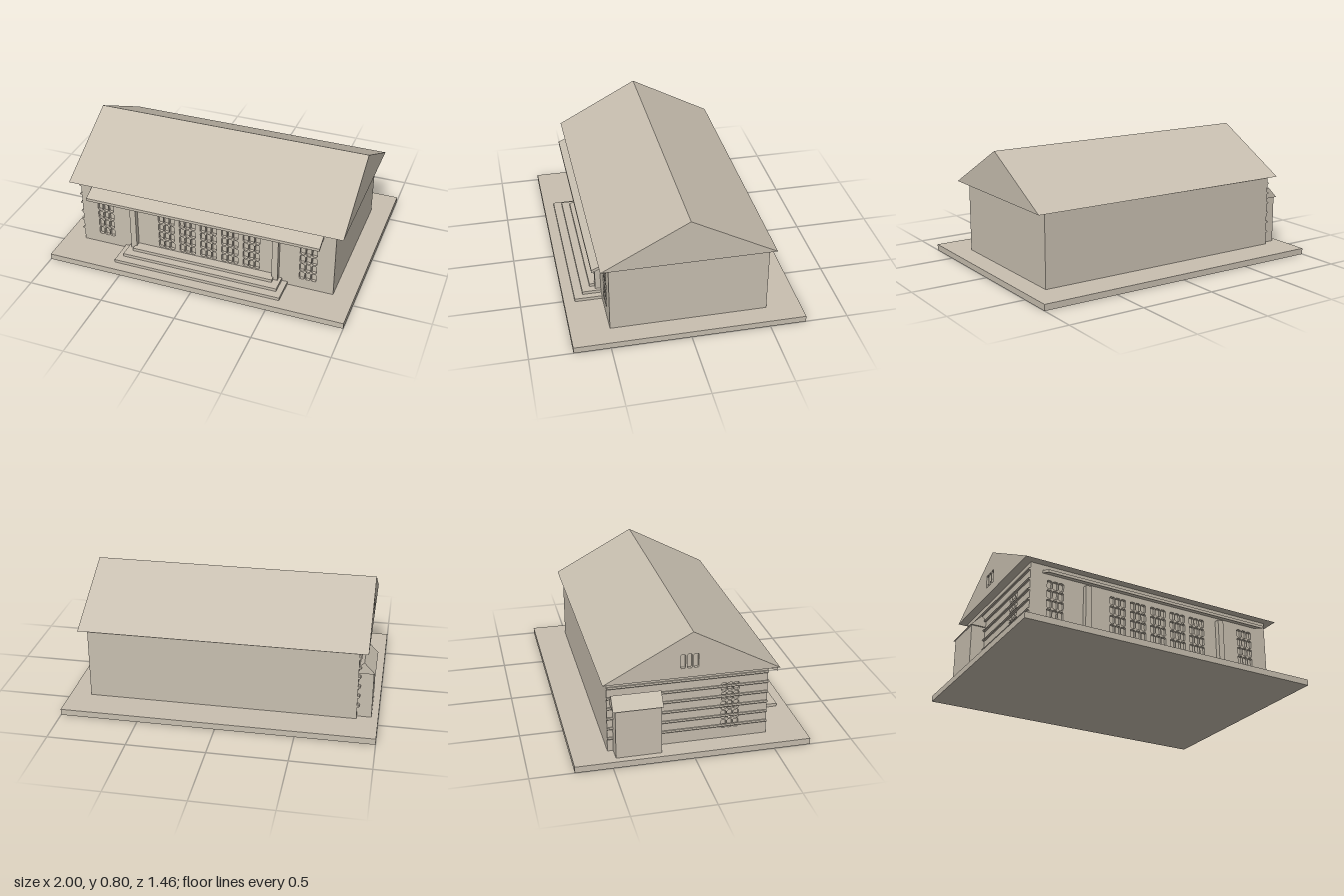
import * as THREE from 'three';

export function createModel() {
  const model = new THREE.Group();
  model.name = 'hall';
  const stone = new THREE.MeshStandardMaterial({ color: 0xc8bfb0 });
  stone.name = 'warm stone';

  const add = (name, geometry, parent = model) => {
    const mesh = new THREE.Mesh(geometry, stone);
    mesh.name = name;
    parent.add(mesh);
    return mesh;
  };

  // Box from its lower and upper corners
  const block = (name, [x0, y0, z0], [x1, y1, z1], parent) =>
    add(name, new THREE.BoxGeometry(x1 - x0, y1 - y0, z1 - z0)
      .translate((x0 + x1) / 2, (y0 + y1) / 2, (z0 + z1) / 2), parent);

  const outline = (points, holes = []) => {
    const shape = new THREE.Shape(points.map(p => new THREE.Vector2(...p)));
    shape.holes.push(...holes);
    return shape;
  };

  // Profile in x, y drawn out along z from z0 to z1
  const alongZ = (name, shape, z0, z1, parent) =>
    add(name, new THREE.ExtrudeGeometry(shape, { depth: z1 - z0, bevelEnabled: false })
      .translate(0, 0, z0), parent);

  // Profile in z, y drawn out along x from x0 to x1
  const alongX = (name, shape, x0, x1, parent) =>
    add(name, new THREE.ExtrudeGeometry(shape, { depth: x1 - x0, bevelEnabled: false })
      .rotateY(-Math.PI / 2).translate(x1, 0, 0), parent);

  // Window opening with clipped corners
  const pane = (cx, cy, w, h) => {
    const c = 0.006, a = w / 2, b = h / 2;
    return new THREE.Path([
      [-a + c, -b], [a - c, -b], [a, -b + c], [a, b - c],
      [a - c, b], [-a + c, b], [-a, b - c], [-a, -b + c],
    ].map(([x, y]) => new THREE.Vector2(cx + x, cy + y)));
  };

  // Window of three columns and five rows of openings
  const windowGrid = cx => {
    const panes = [];
    for (let row = 0; row < 5; row++)
      for (let col = -1; col <= 1; col++)
        panes.push(pane(cx + col * 0.039, 0.135 + row * 0.0635, 0.033, 0.054));
    return panes;
  };

  // Base and wall core
  block('base', [-1, 0, -0.73], [1, 0.04, 0.73]);
  block('wallCore', [-0.845, 0.04, -0.51], [0.865, 0.51, 0.465]);

  // Pierced front and side walls
  const frontWindows = [-0.697, -0.265, -0.119, 0.027, 0.173, 0.319, 0.695];
  alongZ('frontWall', outline(
    [[-0.845, 0.04], [0.865, 0.04], [0.865, 0.51], [-0.845, 0.51]],
    frontWindows.flatMap(windowGrid)), 0.465, 0.485);
  alongX('sideWall', outline(
    [[-0.51, 0.04], [0.485, 0.04], [0.485, 0.51], [-0.51, 0.51]],
    windowGrid(0.25)), -0.865, -0.845);

  // Ribs along the side wall
  const ribs = new THREE.Group();
  ribs.name = 'sideRibs';
  model.add(ribs);
  for (let i = 0; i < 6; i++) {
    const y = 0.127 + i * 0.0673;
    alongZ('rib', outline([
      [-0.863, y - 0.007], [-0.863, y + 0.007], [-0.874, y + 0.006],
      [-0.88, y], [-0.874, y - 0.006],
    ]), -0.51, 0.485, ribs);
  }

  // Solid roof with a pierced gable on one end
  const gable = [[-0.54, 0.51], [0.54, 0.51], [0, 0.8]];
  alongX('roof', outline(gable), -0.9, 0.92);
  alongX('gableWall', outline(gable,
    [-0.06, -0.02, 0.02].map(z => pane(z, 0.615, 0.03, 0.09))), -0.92, -0.9);

  // Sloping canopy over the front
  alongX('canopy', outline(
    [[0.48, 0.457], [0.575, 0.418], [0.575, 0.437], [0.48, 0.477]]), -0.785, 0.785);

  // Pilasters beside the entrance
  for (const side of [-1, 1])
    block('pilaster', [side * 0.487 - 0.02, 0.04, 0.48], [side * 0.487 + 0.02, 0.43, 0.52]);

  // Entrance steps
  [[0.565, 0.66], [0.527, 0.605], [0.48, 0.553]].forEach(([x, z], i) =>
    block('step', [-x, 0.04 + i * 0.02, 0.48], [x, 0.06 + i * 0.02, z]));

  // Small lean-on annex with its own gabled roof
  const annex = new THREE.Group();
  annex.name = 'annex';
  model.add(annex);
  block('annexWalls', [-0.957, 0.04, -0.475], [-0.86, 0.355, -0.195], annex);
  alongZ('annexRoof', outline(
    [[-0.966, 0.353], [-0.86, 0.353], [-0.86, 0.395], [-0.895, 0.428]]), -0.49, -0.185, annex);

  return model;
}
